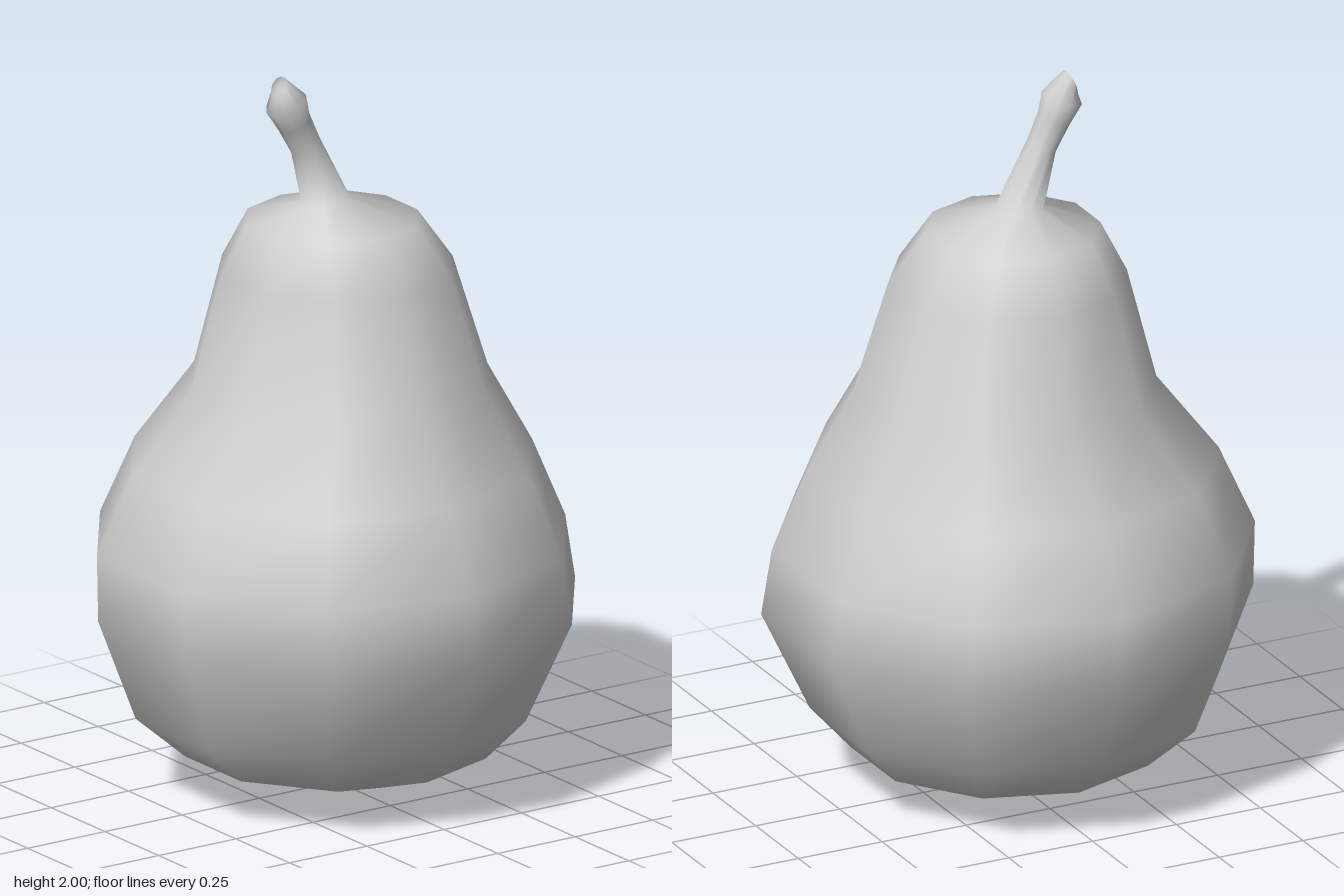
import * as THREE from 'three';
import { mergeVertices } from 'three/addons/utils/BufferGeometryUtils.js';

const SIDES = 10;

// Cross-sections from bottom to top: [centre x, centre y, radius, tilt]
const bodyRings = [
  [0, 0, 0, 0],
  [0.01, 0.035, 0.2, 0],
  [0, 0.11, 0.42, 0],
  [-0.015, 0.23, 0.545, 0],
  [0, 0.51, 0.662, 0],
  [-0.018, 0.69, 0.65, 0],
  [-0.015, 0.91, 0.555, 0],
  [0.01, 1.13, 0.41, 0],
  [0, 1.44, 0.322, 0],
  [-0.015, 1.58, 0.237, 0],
  [-0.038, 1.64, 0.066, 0.08],
];
const stemRings = [
  [-0.102, 1.8, 0.043, 0.5],
  [-0.138, 1.87, 0.047, 0.5],
  [-0.163, 1.925, 0.058, 0.4],
  [-0.187, 1.975, 0.031, 1.1],
  [-0.189, 1.976, 0, 0],
];

// Smooth skin through all the rings, so the stem grows out of the fruit
function loft(rings) {
  const positions = [];
  const index = [];
  for (const [cx, cy, r, tilt] of rings) {
    for (let j = 0; j < SIDES; j++) {
      const phi = (j / SIDES) * Math.PI * 2;
      const across = r * Math.sin(phi);
      positions.push(cx + across * Math.cos(tilt), cy + across * Math.sin(tilt), r * Math.cos(phi));
    }
  }
  for (let i = 0; i < rings.length - 1; i++) {
    for (let j = 0; j < SIDES; j++) {
      const k = (j + 1) % SIDES;
      const a = i * SIDES + j, b = i * SIDES + k;
      const c = b + SIDES, d = a + SIDES;
      index.push(a, b, c, a, c, d);
    }
  }
  const geometry = new THREE.BufferGeometry();
  geometry.setAttribute('position', new THREE.Float32BufferAttribute(positions, 3));
  geometry.setIndex(index);
  const merged = mergeVertices(geometry); // joins the points at both poles
  merged.computeVertexNormals();
  return merged;
}

export function createModel() {
  const group = new THREE.Group();
  group.name = 'pear';
  const material = new THREE.MeshStandardMaterial({ color: 0xcccccc });

  // Body and stem share vertices and normals; each takes its own rows of faces
  const skin = loft([...bodyRings, ...stemRings]);
  const faces = Array.from(skin.index.array);
  const split = (bodyRings.length - 1) * SIDES * 6;
  const addPart = (name, indices) => {
    const part = skin.clone();
    part.setIndex(indices);
    const mesh = new THREE.Mesh(part, material);
    mesh.name = name;
    group.add(mesh);
  };
  addPart('fruitBody', faces.slice(0, split));
  addPart('stem', faces.slice(split));

  return group;
}
